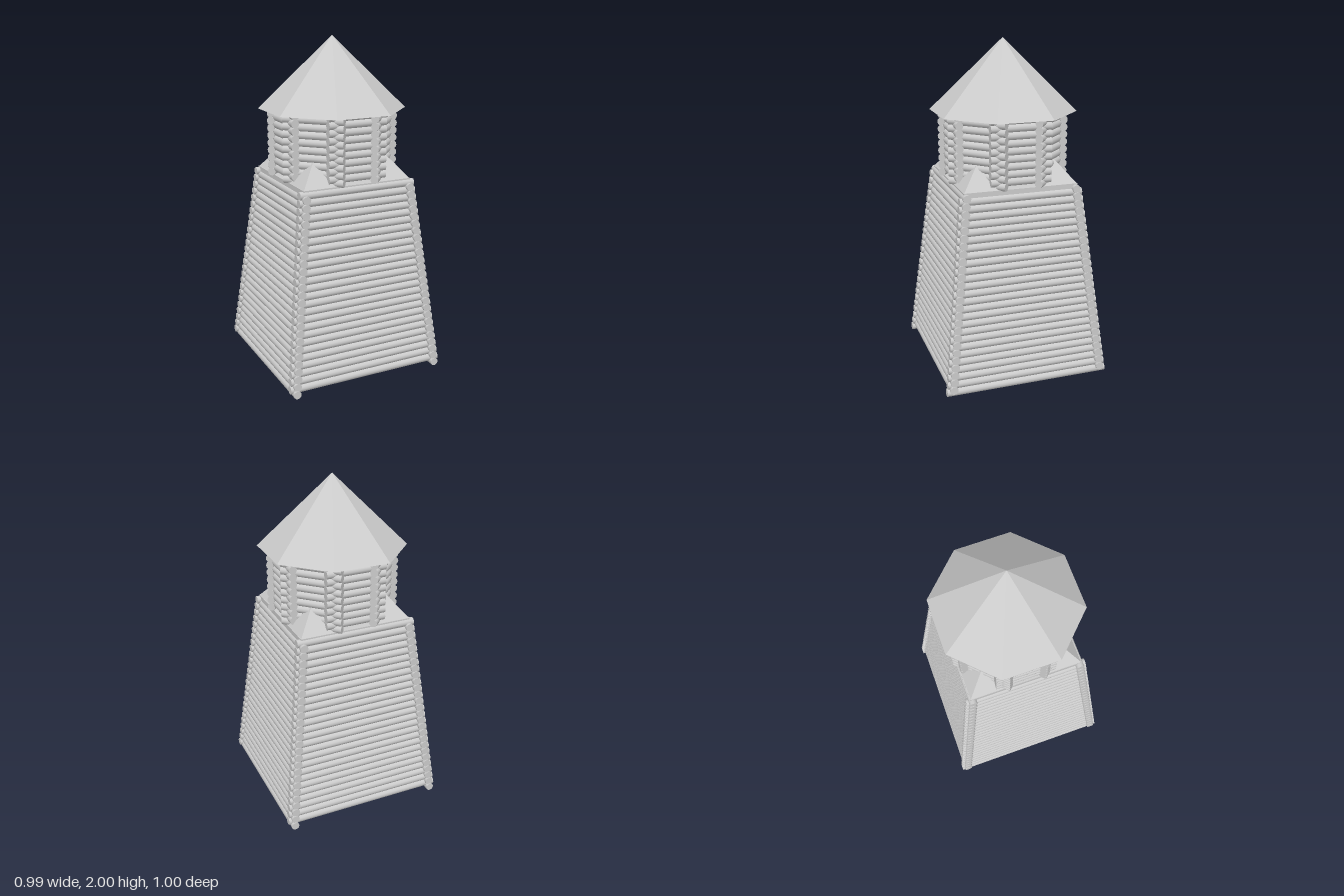
import * as THREE from 'three';

const LOG_RADIUS = 0.024;
const LOG_PITCH = 0.0442;

export function createModel() {
  const tower = new THREE.Group();
  tower.name = 'logWatchtower';
  const wood = new THREE.MeshStandardMaterial({ color: 0xcccccc });
  const faceted = new THREE.MeshStandardMaterial({ color: 0xcccccc, flatShading: true });

  // One unit-length log lying along x, stretched to fit where it is used
  const logGeometry = new THREE.CylinderGeometry(LOG_RADIUS, LOG_RADIUS, 1, 12).rotateZ(Math.PI / 2);

  function addMesh(parent, name, geometry, material, x = 0, y = 0, z = 0) {
    const mesh = new THREE.Mesh(geometry, material);
    mesh.name = name;
    mesh.position.set(x, y, z);
    parent.add(mesh);
    return mesh;
  }

  // Log standing off the axis by `distance`, on the wall facing `angle` (0 = front)
  function addLog(parent, name, angle, distance, y, length) {
    const log = addMesh(parent, name, logGeometry, wood,
      Math.sin(angle) * distance, y, Math.cos(angle) * distance);
    log.rotation.y = angle;
    log.scale.x = length;
  }

  // Tapering square base: the side walls sit half a log lower than front and back
  const base = new THREE.Group();
  base.name = 'taperedBase';
  tower.add(base);
  for (let side = 0; side < 4; side++) {
    for (let i = 0; i < 26; i++) {
      const y = LOG_RADIUS + (i + (side % 2 ? 0 : 0.5)) * LOG_PITCH;
      const distance = 0.466 - 0.116 * y;
      addLog(base, 'baseLog', side * Math.PI / 2, distance, y, 2 * (distance + 0.036));
    }
  }

  // Inner block, whose top is the deck
  addMesh(tower, 'innerBlock', new THREE.BoxGeometry(0.69, 1.15, 0.69), wood, 0, 0.605, 0);

  // Four small pyramids on the deck corners
  const pyramid = new THREE.CylinderGeometry(0, 0.108 * Math.SQRT2, 0.135, 4, 1).rotateY(Math.PI / 4);
  for (const x of [-1, 1]) {
    for (const z of [-1, 1]) {
      addMesh(tower, 'cornerPyramid', pyramid, faceted, x * 0.235, 1.2455, z * 0.235);
    }
  }

  // Octagonal log cabin with the ends crossing at its corners
  const cabin = new THREE.Group();
  cabin.name = 'octagonalCabin';
  tower.add(cabin);
  for (let side = 0; side < 8; side++) {
    for (let i = 0; i < 9; i++) {
      const y = 1.197 + (i + (side % 2 ? 0 : 0.5)) * LOG_PITCH;
      addLog(cabin, 'cabinLog', side * Math.PI / 4, 0.32, y, 0.365);
    }
  }

  // Eight-sided pointed roof
  const roof = new THREE.CylinderGeometry(0, 0.44, 0.427, 8, 1).rotateY(Math.PI / 8);
  addMesh(tower, 'roof', roof, faceted, 0, 2 - 0.427 / 2, 0);

  return tower;
}
